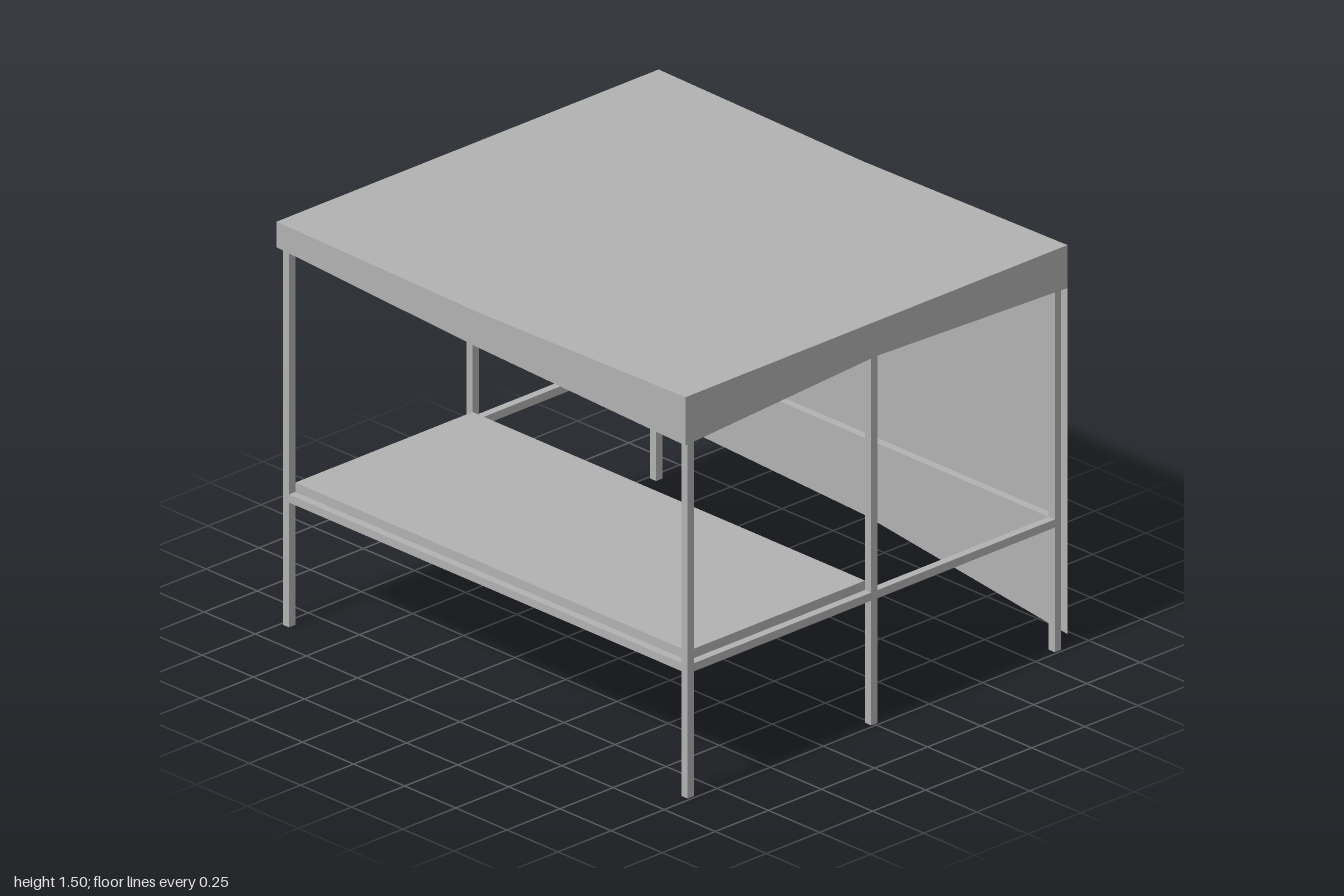
import * as THREE from 'three';

export function createModel() {
  const group = new THREE.Group();
  const grey = new THREE.MeshStandardMaterial({ color: 0xb2b2b2, side: THREE.DoubleSide });
  grey.name = 'plain grey';

  function add(name, geometry) {
    const mesh = new THREE.Mesh(geometry, grey);
    mesh.name = name;
    group.add(mesh);
    return mesh;
  }
  function bar(name, w, h, d, x, y, z) {
    add(name, new THREE.BoxGeometry(w, h, d)).position.set(x, y, z);
  }
  // Open sheet between two edges, given as equal lists of points
  function sheet(name, a, b) {
    const pos = [];
    for (let i = 0; i + 1 < a.length; i++) {
      for (const p of [a[i], b[i], b[i + 1], a[i], b[i + 1], a[i + 1]]) pos.push(...p);
    }
    const g = new THREE.BufferGeometry();
    g.setAttribute('position', new THREE.Float32BufferAttribute(pos, 3));
    g.computeVertexNormals();
    add(name, g);
  }

  const T = 0.03, legX = 0.975, legZ = 0.865;
  const railY = 0.48, beamY = 1.47;
  const steps = [-1, 0, 1];

  // Frame: six legs with rails and roof beams between them
  for (const z of [-legZ, 0, legZ]) {
    for (const x of [-legX, legX]) bar('leg', T, 1.485, T, x, 1.485 / 2, z);
    bar('crossRail', 1.92, T, T, 0, railY, z);
    bar('roofBeam', 1.92, T, T, 0, beamY, z);
  }
  for (const x of [-legX, legX]) {
    for (const z of [-0.4325, 0.4325]) {
      bar('sideRail', T, T, 0.835, x, railY, z);
      bar('roofSideBeam', T, T, 0.835, x, beamY, z);
    }
  }

  // Counter: thin top with a shallow skirt, open below
  const zMid = 0.4325, thin = 0.004;
  bar('counterTop', 1.92, thin, 0.835, 0, 0.528, zMid);
  for (const s of [-1, 1]) {
    bar('counterSkirt', 1.92, 0.035, thin, 0, 0.5125, zMid + s * 0.4155);
    bar('counterSkirt', thin, 0.035, 0.835, s * 0.958, 0.5125, zMid);
  }

  // Canopy: slightly sagging roof, uneven hanging edges and back wall
  const top = x => 1.49 + 0.015 * Math.abs(x);
  const edge = z => steps.map(x => [x, top(x), z]);
  sheet('roof', edge(-0.9), edge(0.9));

  const frontHem = [1.41, 1.358, 1.325], backHem = [0.215, 0.175, 0.055];
  sheet('frontValance', edge(0.9), steps.map((x, i) => [x, frontHem[i], 0.9]));
  sheet('backWall', edge(-0.9).reverse(), steps.map((x, i) => [x, backHem[i], -0.9]).reverse());

  const side = (x, hem) => steps.map((s, i) => [x, hem ? hem[i] : top(x), s * 0.9]);
  sheet('leftValance', side(1).reverse(), side(1, [1.345, 1.375, 1.325]).reverse());
  sheet('rightValance', side(-1), side(-1, [1.297, 1.305, 1.41]));

  return group;
}
